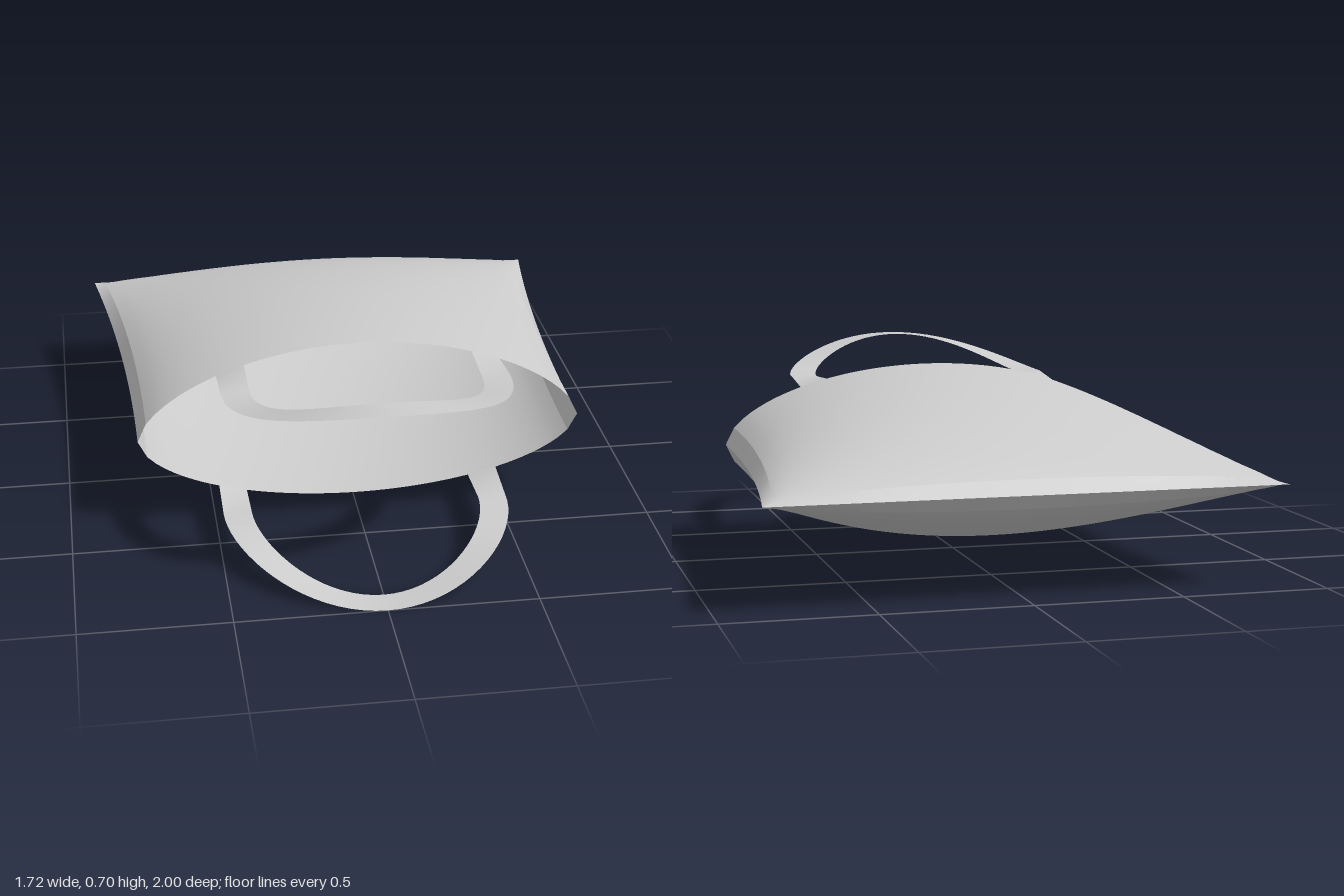
import * as THREE from 'three';
import { toCreasedNormals } from 'three/addons/utils/BufferGeometryUtils.js';

const MID = 0.35; // height of the side seams
const cloth = new THREE.MeshStandardMaterial({ color: 0xcccccc, side: THREE.DoubleSide });
cloth.name = 'greyCloth';

// Grid surface from a rule point(u, v) -> [x, height above seam, z]; side -1 mirrors it downwards
function sheet(name, point, nu, nv, side) {
  const pos = [], index = [];
  for (let j = 0; j <= nv; j++) {
    for (let i = 0; i <= nu; i++) {
      const [x, h, z] = point(i / nu, j / nv);
      pos.push(x, MID + side * h, z);
    }
  }
  for (let j = 0; j < nv; j++) {
    for (let i = 0; i < nu; i++) {
      const a = j * (nu + 1) + i, b = a + 1, c = a + nu + 1, d = c + 1;
      if (side > 0) index.push(a, c, b, b, c, d);
      else index.push(a, b, c, b, d, c);
    }
  }
  const geo = new THREE.BufferGeometry();
  geo.setAttribute('position', new THREE.Float32BufferAttribute(pos, 3));
  geo.setIndex(index);
  const mesh = new THREE.Mesh(toCreasedNormals(geo, 0.3), cloth);
  mesh.name = name;
  return mesh;
}

// Bulge of the opening across the width (s = -1..1)
const bulge = (s) => 0.288 * Math.pow(Math.max(0, 1 - s * s), 0.6);
const rimZ = (s) => 0.32 + 0.067 * s * s;

// Puffed panel: closed seam at the back, open rim at the front
function panelPoint(u, t) {
  const s = u * 2 - 1;
  const k = 1 - t;
  const x = s * (0.76 + 0.1 * k * k);
  const h = bulge(s) * Math.pow(Math.max(0, 1 - k * k), 0.6);
  return [x, h, -1 + t * (rimZ(s) + 1)];
}

// Flat strap: straight leg from the rim, half circle, straight leg back
const LEG = 0.12;
function handlePoint(u, v) {
  const r = 0.39 + 0.096 * u;
  const bendZ = 0.514;
  if (v < LEG || v > 1 - LEG) {
    const k = Math.min(v, 1 - v) / LEG;
    const s = r / 0.76;
    const z = rimZ(s) + (bendZ - rimZ(s)) * k;
    return [v < 0.5 ? r : -r, bulge(s) + (0.23 - bulge(s)) * k, z];
  }
  const a = Math.PI * (v - LEG) / (1 - 2 * LEG);
  const lift = Math.sin(a) ** 2;
  return [r * Math.cos(a), 0.23 + 0.12 * lift, bendZ + r * Math.sin(a)];
}

export function createModel() {
  const bag = new THREE.Group();
  bag.name = 'toteBag';
  for (const side of [1, -1]) {
    const label = side > 0 ? 'upper' : 'lower';
    bag.add(sheet(label + 'Panel', panelPoint, 50, 40, side));
    bag.add(sheet(label + 'Handle', handlePoint, 2, 50, side));
  }
  return bag;
}
